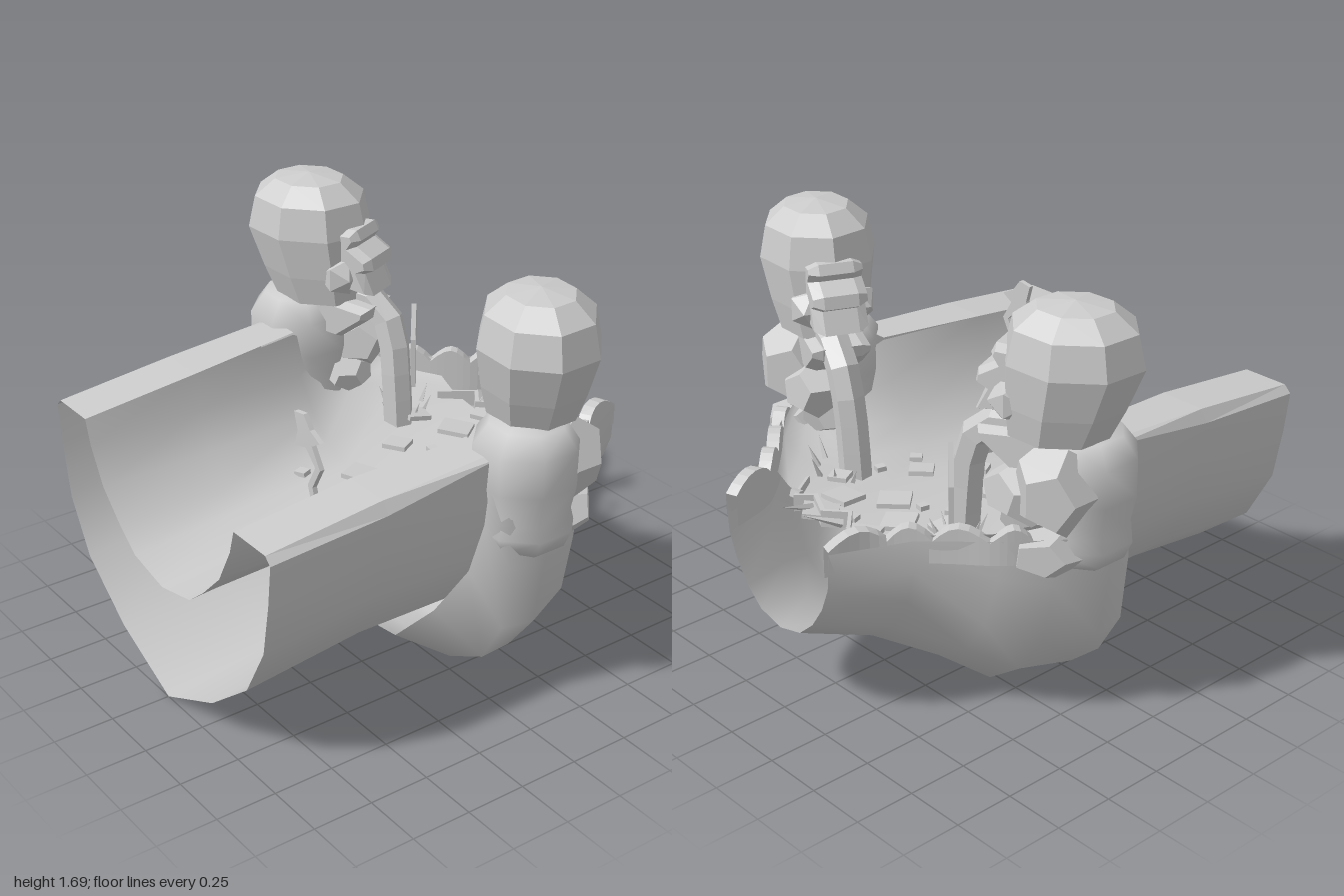
import * as THREE from 'three';

const smooth = new THREE.MeshStandardMaterial({ color: 0xcccccc, side: THREE.DoubleSide });
const flat = new THREE.MeshStandardMaterial({ color: 0xcccccc, side: THREE.DoubleSide, flatShading: true });

function add(parent, name, geometry, material = flat, pos = [0, 0, 0], rot = [0, 0, 0], scale = [1, 1, 1]) {
  const m = new THREE.Mesh(geometry, material);
  m.name = name;
  m.position.set(...pos);
  m.rotation.set(...rot);
  m.scale.set(...scale);
  parent.add(m);
  return m;
}

// Sheet through rows of [x, y, z] points
function sheet(rows) {
  const n = rows[0].length, idx = [];
  for (let r = 0; r < rows.length - 1; r++)
    for (let i = 0; i < n - 1; i++) {
      const a = r * n + i, b = a + 1, c = a + n, d = c + 1;
      idx.push(a, c, b, b, c, d);
    }
  const g = new THREE.BufferGeometry();
  g.setAttribute('position', new THREE.Float32BufferAttribute(rows.flat(2), 3));
  g.setIndex(idx);
  g.computeVertexNormals();
  return g;
}

// Half profile (keel first) mirrored across x; a third value shifts a point in z
const section = (z, half) => {
  const right = half.map(([x, y, dz = 0]) => [x, y, z + dz]);
  return [...right.slice(1).reverse().map(([x, y, d]) => [-x, y, d]), ...right];
};

// Side outline of a shape, extruded and centred on z
function slab(pts, depth, bevel = 0) {
  const shape = new THREE.Shape(pts.map(([x, y]) => new THREE.Vector2(x, y)));
  return new THREE.ExtrudeGeometry(shape, {
    depth, bevelEnabled: bevel > 0, bevelSize: bevel, bevelThickness: bevel * 2, bevelOffset: -bevel, bevelSegments: 1,
  }).translate(0, 0, -depth / 2);
}

const floorY = (x, z) => 0.605 - 0.09 * z + 0.4 * x * x;
let seed = 7;
const rand = () => (seed = (seed * 16807) % 2147483647) / 2147483647;

function buildChannel(g) {
  // Open front trough
  const side = (d, t) => [[0, 0.003 + d], [0.33, 0.16 + d], [0.58, 0.36 + d], [0.7, 0.58 + d], [0.74, 0.8 + d], [0.76, t]];
  add(g, 'troughHull', sheet([section(1, side(0, 0.97)), section(0.5, side(0.055, 1.0)), section(0, side(0.05, 1.07))]), smooth);

  // Rounded rear basin, swelling out of the trough and narrowing to a spout
  add(g, 'basinHull', sheet([
    section(0.05, [[0, 0.045, 0.05], [0.38, 0.17, 0.13], [0.56, 0.36, 0.08], [0.69, 0.58, 0.02], [0.75, 0.8], [0.77, 0.95]]),
    section(0, [[0, 0.045], [0.5, 0.065], [0.7, 0.17], [0.81, 0.36], [0.84, 0.64], [0.84, 0.85]]),
    section(-0.14, [[0, 0.05], [0.5, 0.065], [0.69, 0.17], [0.83, 0.35], [0.88, 0.64], [0.9, 0.8]]),
    section(-0.35, [[0, 0.07], [0.46, 0.075], [0.62, 0.19], [0.75, 0.38], [0.8, 0.63], [0.8, 0.82]]),
    section(-0.5, [[0, 0.15], [0.33, 0.18], [0.49, 0.28], [0.59, 0.43], [0.66, 0.65], [0.68, 0.82]]),
    section(-0.72, [[0, 0.27], [0.2, 0.3], [0.33, 0.4], [0.41, 0.54], [0.45, 0.68], [0.45, 0.81]]),
    section(-1, [[0, 0.36], [0.12, 0.39], [0.2, 0.46], [0.26, 0.55], [0.3, 0.65], [0.31, 0.8]]),
  ]), smooth);

  // Curved channel floor running up into the inner walls
  add(g, 'channelFloor', sheet([
    section(1, [[0, 0.505], [0.2, 0.55], [0.3, 0.63], [0.42, 0.75], [0.5, 0.9], [0.53, 1.0]]),
    section(0.5, [[0, 0.56], [0.2, 0.59], [0.3, 0.65], [0.42, 0.75], [0.5, 0.9], [0.53, 1.05]]),
    section(0, [[0, 0.605], [0.2, 0.62], [0.34, 0.67], [0.43, 0.76], [0.53, 0.9], [0.57, 1.07]]),
    section(-0.3, [[0, 0.63], [0.2, 0.645], [0.4, 0.69], [0.58, 0.74], [0.7, 0.8], [0.75, 0.86]]),
    section(-0.5, [[0, 0.65], [0.2, 0.665], [0.38, 0.7], [0.5, 0.74], [0.6, 0.78], [0.63, 0.83]]),
    section(-0.67, [[0, 0.665], [0.14, 0.67], [0.27, 0.69], [0.36, 0.71], [0.44, 0.75], [0.46, 0.82]]),
  ]), smooth);

  for (const s of [-1, 1]) {
    // Bevelled top of each trough wall
    add(g, 'wallTop', sheet([[1, 0.97, 1], [0.5, 1.0, 1.05], [0, 1.07, 1.08]].map(([z, lo, hi]) =>
      [[s * 0.76, lo, z], [s * 0.73, hi, z], [s * (z ? 0.53 : 0.57), hi, z]])), flat);

    // Scalloped rim around the basin
    const path = new THREE.CatmullRomCurve3([[0.75, -0.4], [0.68, -0.5], [0.55, -0.62], [0.45, -0.72], [0.37, -0.82], [0.31, -1]]
      .map(([x, z]) => new THREE.Vector3(x, 0, z)));
    const rows = [];
    for (let i = 0; i <= 24; i++) {
      const p = path.getPoint(i / 24), t = path.getTangent(i / 24);
      const top = 0.81 + 0.055 * Math.abs(Math.sin((i / 24) * Math.PI * 4));
      const ix = p.x + t.z * 0.05, iz = Math.max(p.z - t.x * 0.05, -1);
      rows.push([[p.x, 0.72, p.z], [p.x, top, p.z], [ix, top, iz], [ix, 0.68, iz]].map(([x, y, z]) => [s * x, y, z]));
    }
    add(g, 'scallopedRim', sheet(rows), flat);
  }
}

function buildFigure() {
  const f = new THREE.Group();
  f.name = 'spoutingFigure';
  const lump = (name, pos, scale, rot = [0, 0, 0]) =>
    add(f, name, new THREE.DodecahedronGeometry(1.05, 0), flat, pos, rot, scale);
  const lathe = (pts) => new THREE.LatheGeometry(pts.map(([r, y]) => new THREE.Vector2(r, y)), 8);

  // Torso and limbs holding the rim
  add(f, 'torso', lathe([[0.1, 0.64], [0.17, 0.69], [0.2, 0.76], [0.18, 0.81], [0.21, 0.95], [0.21, 1.1], [0.15, 1.18], [0, 1.2]]),
    smooth, [-0.74, 0, -0.15], [0, Math.PI / 8, 0]);
  lump('shoulder', [-0.76, 1.0, -0.31], [0.16, 0.18, 0.15]);
  lump('forearm', [-0.62, 0.94, -0.34], [0.15, 0.12, 0.11], [0, 0.4, 0.3]);
  lump('hand', [-0.74, 0.74, -0.29], [0.13, 0.1, 0.19], [0.15, 0, 0]);
  lump('innerHand', [-0.57, 0.83, -0.28], [0.09, 0.07, 0.12], [0, 0.5, -0.4]);

  // Head, turned inwards and back
  const h = new THREE.Group();
  h.name = 'head';
  h.position.set(-0.73, 0, -0.2);
  h.rotation.y = 0.4;
  f.add(h);
  const skull = lathe([[0, 1.18], [0.2, 1.18], [0.235, 1.3], [0.27, 1.47], [0.24, 1.6], [0.15, 1.67], [0, 1.69]]);
  // The lower skull slides towards the face
  const p = skull.attributes.position;
  for (let i = 0; i < p.count; i++) p.setX(i, p.getX(i) + 0.2 * Math.max(0, 1.47 - p.getY(i)));
  add(h, 'cranium', skull, flat, [0, 0, 0], [0, 0, 0], [1, 1, 0.88]);
  // Face wedge with brow, nose and upper lip, over a dropped jaw
  add(h, 'face', slab([[0.05, 1.5], [0.27, 1.51], [0.29, 1.47], [0.27, 1.44], [0.34, 1.4], [0.35, 1.35], [0.31, 1.33], [0.35, 1.24], [0.05, 1.27]], 0.14, 0.02));
  add(h, 'jaw', slab([[0.0, 1.21], [0.34, 1.18], [0.33, 1.13], [0.2, 1.03], [0.02, 1.05]], 0.16, 0.02));
  for (const s of [-1, 1])
    add(h, 'cheek', new THREE.IcosahedronGeometry(0.09, 0), flat, [0.2, 1.31, s * 0.09]);

  // Stream pouring from the mouth
  const path = new THREE.CatmullRomCurve3([[-0.58, 1.19, -0.29], [-0.45, 1.17, -0.34], [-0.38, 1.08, -0.36], [-0.345, 0.9, -0.36], [-0.325, 0.66, -0.36]]
    .map((v) => new THREE.Vector3(...v)));
  add(f, 'stream', new THREE.TubeGeometry(path, 6, 0.066, 6), flat);

  // Splash shards where the stream lands
  for (let i = 0; i < 8; i++) {
    const a = i * 0.78, r = 0.08 + 0.03 * rand(), x = -0.36 + r * Math.cos(a), z = -0.42 + r * Math.sin(a);
    add(f, 'splashShard', new THREE.ConeGeometry(0.014, 0.07 + 0.05 * rand(), 4), flat,
      [x, floorY(x, z) + 0.03, z], [Math.sin(a) * 0.4, 0, -Math.cos(a) * 0.4]);
  }
  return f;
}

function buildDebris(g) {
  // Flat slabs strewn over the floor: [x, z, size]
  [[-0.11, -0.68, 0.13], [-0.11, -0.5, 0.13], [0.13, -0.69, 0.14], [0.18, -0.54, 0.13], [0.06, -0.38, 0.13],
    [-0.28, -0.42, 0.1], [-0.17, -0.24, 0.1], [0.2, -0.12, 0.1], [-0.09, 0, 0.13], [0.1, 0.11, 0.07],
    [-0.24, 0.19, 0.05], [0.22, 0.29, 0.09], [0.28, -0.08, 0.05], [-0.05, -0.33, 0.04], [0.03, -0.62, 0.05],
    [0.3, -0.46, 0.08], [0.28, -0.27, 0.04]].forEach(([x, z, s]) =>
    add(g, 'floatingSlab', new THREE.BoxGeometry(s, 0.02, s * 0.9), flat,
      [x, floorY(x, z) + 0.02, z], [0.2 * (rand() - 0.5), rand() * 1.5, 0.2 * (rand() - 0.5)]));

  // Jagged crest where the floor breaks off
  const edge = [[-0.34, -0.6], [-0.25, -0.73], [-0.17, -0.67], [-0.1, -0.75], [0, -0.66], [0.08, -0.73], [0.2, -0.67], [0.25, -0.73], [0.34, -0.6]];
  add(g, 'brokenCrest', sheet(edge.map(([x, z]) => [[x, 0.66, z], [x, 0.73, z], [x, 0.73, z + 0.02], [x, 0.66, z + 0.02]])), flat);
  for (const [x, z, ry] of [[0.16, -0.78, 0.1], [0.02, -0.77, -0.5], [-0.22, -0.76, 0.5]])
    add(g, 'crestSpike', new THREE.ConeGeometry(0.018, 0.16, 4), flat, [x, 0.73, z], [-1.2, 0, ry]);
  for (const [x, z] of [[-0.15, -0.81], [0.27, -0.7]])
    add(g, 'looseChip', new THREE.BoxGeometry(0.04, 0.03, 0.03), flat, [x, 0.72, z], [0.3, 0.4, 0]);

  // Thin flared splashes with crooked tails
  add(g, 'flaredSplash', slab([[-0.07, 0.07], [-0.01, 0.08], [0.03, 0.03], [0.09, 0.0], [0.04, -0.03], [0.09, -0.11], [0.04, -0.2],
    [0.07, -0.3], [0.04, -0.29], [0.01, -0.2], [0.06, -0.11], [0.0, -0.05], [-0.07, -0.07], [-0.05, 0]], 0.02), flat, [0.35, 1.17, 0.56]);
  add(g, 'arrowSplash', slab([[0, 0.13], [0.06, -0.01], [0.02, 0], [0.02, -0.25], [-0.02, -0.25], [-0.02, 0], [-0.07, -0.02]], 0.02),
    flat, [-0.42, 1.0, -0.51], [0, -0.7, 0]);
}

export function createModel() {
  const model = new THREE.Group();
  model.name = 'fountainChannel';
  buildChannel(model);
  const right = buildFigure();
  const left = buildFigure();
  left.scale.x = -1;
  model.add(right, left);
  buildDebris(model);
  return model;
}
